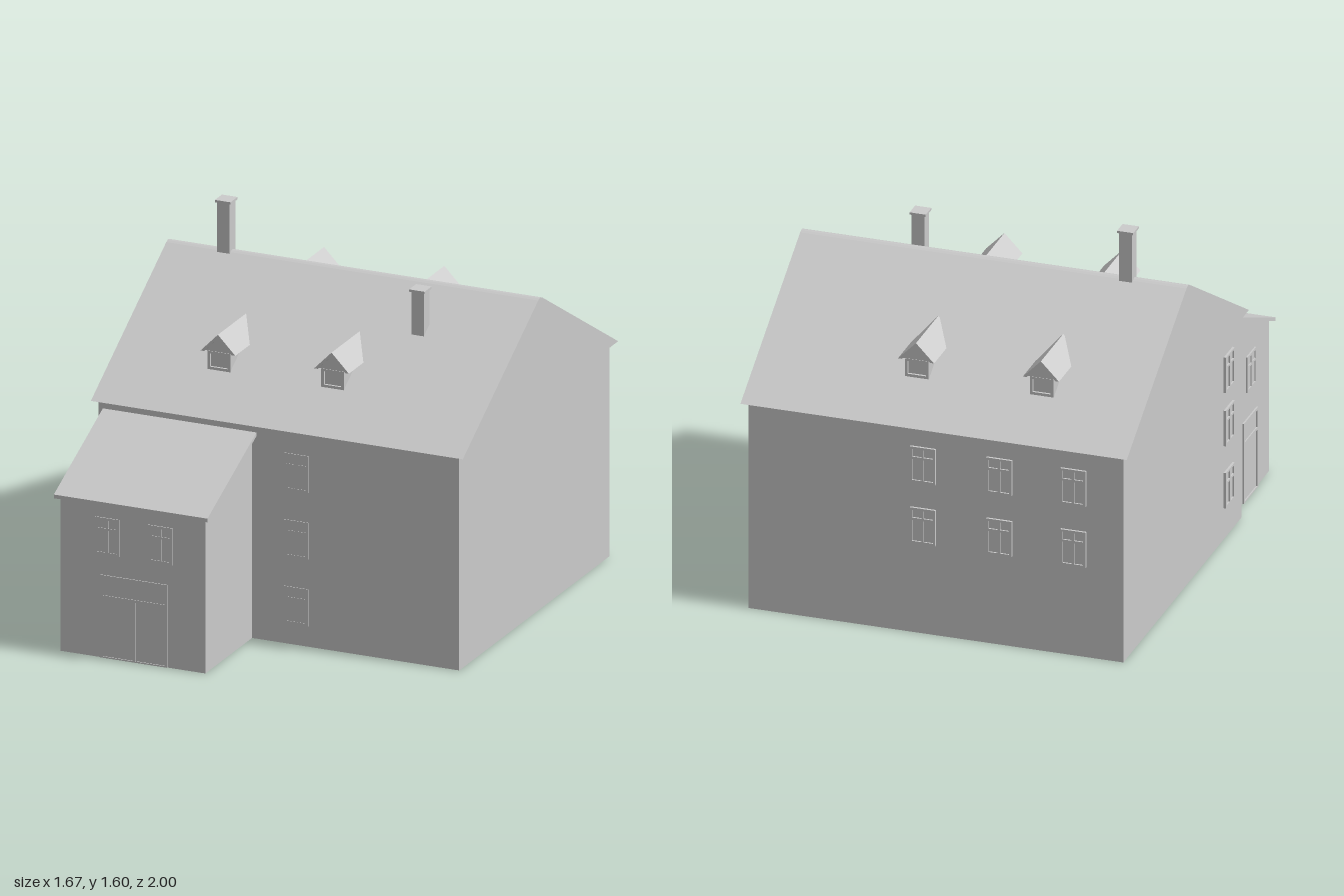
import * as THREE from 'three';

const mat = new THREE.MeshStandardMaterial({ color: 0xcccccc, flatShading: true });

function mesh(name, geometry, parent) {
  const m = new THREE.Mesh(geometry, mat);
  m.name = name;
  parent.add(m);
  return m;
}

function box(name, w, h, d, x, y, z, parent) {
  return mesh(name, new THREE.BoxGeometry(w, h, d).translate(x, y, z), parent);
}

function shapeOf(points) {
  return new THREE.Shape(points.map(([a, b]) => new THREE.Vector2(a, b)));
}

function extrude(shape, depth) {
  return new THREE.ExtrudeGeometry(shape, { depth, bevelEnabled: false });
}

// Extrudes a [z, y] profile along x from x0 to x1
function alongX(name, points, x0, x1, parent) {
  const g = extrude(shapeOf(points), x1 - x0).rotateY(-Math.PI / 2).translate(x1, 0, 0);
  return mesh(name, g, parent);
}

const rect = (x0, y0, x1, y1) => [[x0, y0], [x1, y0], [x1, y1], [x0, y1]];

// Flat frame with rectangular holes plus a sunken pane, facing +z from z = 0
function opening(name, w, h, depth, holes) {
  const g = new THREE.Group();
  g.name = name;
  const frame = shapeOf(rect(-w / 2, 0, w / 2, h));
  for (const r of holes) frame.holes.push(shapeOf(rect(...r)));
  mesh('frame', extrude(frame, depth), g);
  box('pane', w * 0.96, h * 0.96, depth * 0.3, 0, h / 2, depth * 0.15, g);
  return g;
}

// Two casements, each with a small upper light
function makeWindow(depth) {
  const w = 0.11, h = 0.16, t = 0.01, bar = 0.105;
  const holes = [];
  for (const [a, b] of [[-w / 2 + t, -t / 2], [t / 2, w / 2 - t]]) {
    holes.push([a, t, b, bar], [a, bar + t, b, h - t]);
  }
  return opening('window', w, h, depth, holes);
}

// Door leaves below a transom light
function makeDoor(w, leaves, depth) {
  const h = 0.36, t = 0.012, bar = 0.26;
  const holes = [[-w / 2 + t, bar + t, w / 2 - t, h - t]];
  const step = (w - t) / leaves;
  for (let i = 0; i < leaves; i++) {
    const a = -w / 2 + t + i * step;
    holes.push([a, t / 2, a + step - t, bar]);
  }
  return opening('door', w, h, depth, holes);
}

function place(obj, x, y, z, turn, parent) {
  obj.position.set(x, y, z);
  obj.rotation.y = turn;
  parent.add(obj);
}

// Gabled dormer with its front at z = 0, running back into the main roof
function makeDormer() {
  const g = new THREE.Group();
  g.name = 'dormer';
  box('body', 0.1, 0.1, 0.16, 0, 1.1, -0.1, g);
  const surround = shapeOf(rect(-0.051, 1.06, 0.051, 1.14));
  surround.holes.push(shapeOf(rect(-0.039, 1.072, 0.039, 1.13)));
  mesh('windowFrame', extrude(surround, 0.012).translate(0, 0, -0.022), g);
  const gable = shapeOf([[-0.066, 1.141], [0.066, 1.141], [0, 1.209]]);
  mesh('gable', extrude(gable, 0.18).translate(0, 0, -0.19), g);
  const roof = shapeOf([[-0.078, 1.14], [-0.062, 1.14], [0, 1.204],
    [0.062, 1.14], [0.078, 1.14], [0, 1.22]]);
  mesh('dormerRoof', extrude(roof, 0.28).translate(0, 0, -0.28), g);
  return g;
}

function makeChimney(x, z, y0, y1, parent) {
  const g = new THREE.Group();
  g.name = 'chimney';
  box('stack', 0.056, y1 - y0, 0.056, x, (y0 + y1) / 2, z, g);
  box('cap', 0.07, 0.01, 0.07, x, y1 - 0.005, z, g);
  parent.add(g);
}

export function createModel() {
  const house = new THREE.Group();
  house.name = 'house';
  const left = -Math.PI / 2, back = Math.PI;

  // Main block and its roof
  alongX('mainWalls', rect(-0.97, 0, 0.515, 0.935), -0.81, 0.81, house);
  alongX('mainRoof', [[-1, 0.93], [0.535, 0.93], [-0.21, 1.372],
    [-0.222, 1.377], [-0.23, 1.379], [-0.238, 1.377], [-0.25, 1.372]], -0.835, 0.835, house);

  // Front annex with a lean-to roof
  alongX('annexWalls', [[0.5, 0], [0.977, 0], [0.977, 0.678], [0.5, 0.886]], -0.77, -0.12, house);
  alongX('annexRoof', [[0.51, 0.885], [1, 0.669], [1, 0.685], [0.51, 0.9]], -0.79, -0.1, house);

  // Dormers
  for (const x of [-0.36, 0.15]) place(makeDormer(), x, 0, 0.325, 0, house);
  for (const x of [-0.395, 0.145]) place(makeDormer(), x, 0, -0.8, back, house);

  // Chimneys
  makeChimney(-0.575, -0.23, 1.36, 1.595, house);
  makeChimney(0.4, -0.003, 1.22, 1.43, house);

  // Main block windows
  for (const y of [0.09, 0.38, 0.67]) place(makeWindow(0.003), 0.08, y, 0.515, 0, house);
  for (const y of [0.14, 0.42, 0.66]) place(makeWindow(0.01), -0.81, y, 0.345, left, house);
  for (const x of [0.055, -0.275, -0.595]) {
    for (const y of [0.405, 0.68]) place(makeWindow(0.01), x, y, -0.97, back, house);
  }

  // Annex windows and doors
  for (const x of [-0.56, -0.32]) place(makeWindow(0.004), x, 0.45, 0.977, 0, house);
  place(makeDoor(0.3, 2, 0.004), -0.44, 0, 0.977, 0, house);
  place(makeWindow(0.007), -0.77, 0.48, 0.74, left, house);
  place(makeDoor(0.18, 1, 0.007), -0.77, 0, 0.73, left, house);

  return house;
}
